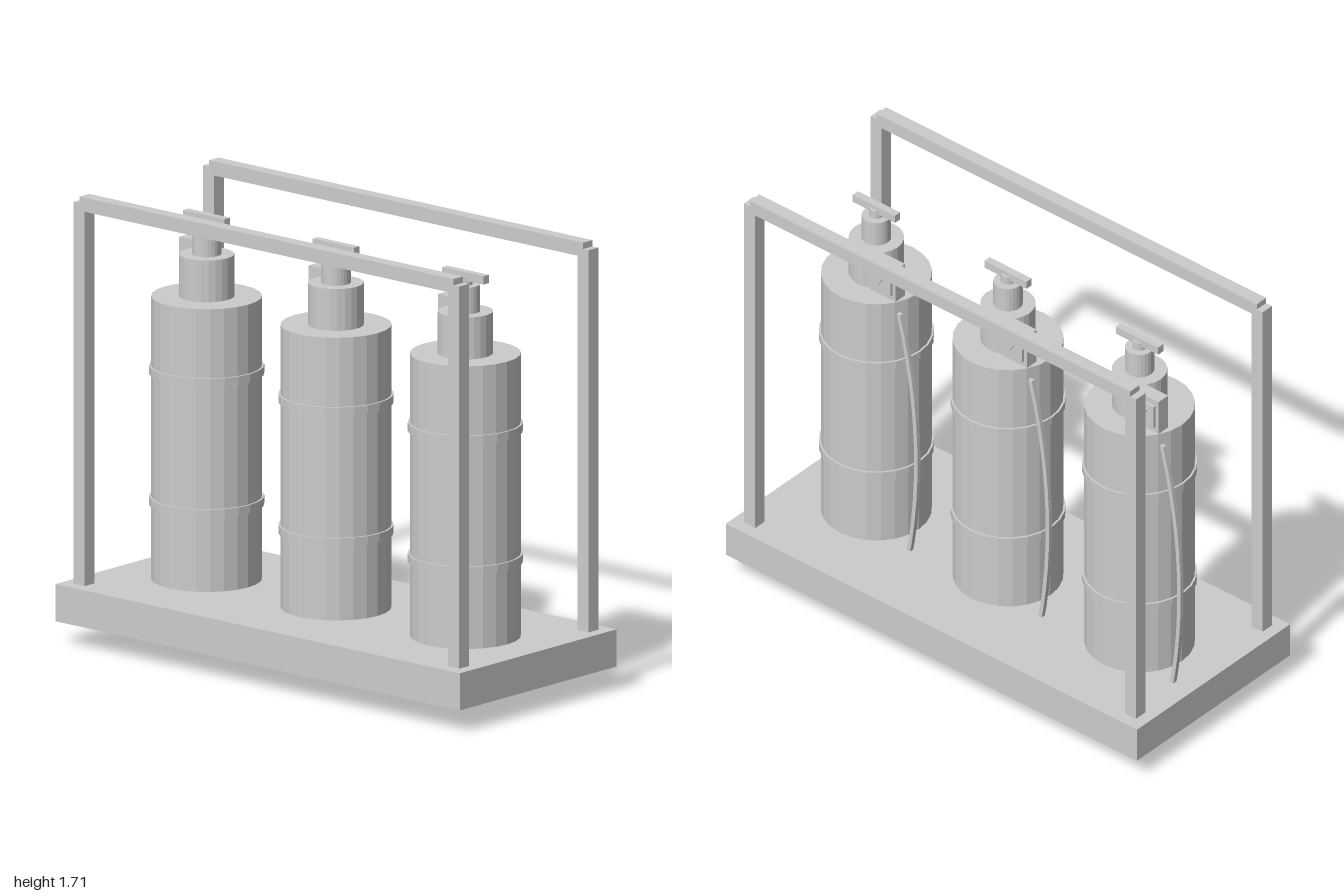
import * as THREE from 'three';

const grey = new THREE.MeshStandardMaterial({ color: 0xcccccc, flatShading: true });
grey.name = 'plain grey';

function add(parent, name, geometry, x = 0, y = 0, z = 0) {
  const mesh = new THREE.Mesh(geometry, grey);
  mesh.name = name;
  mesh.position.set(x, y, z);
  parent.add(mesh);
  return mesh;
}

// Box and upright cylinder placed by their bottom and top heights
function box(parent, name, w, d, y0, y1, x = 0, z = 0) {
  return add(parent, name, new THREE.BoxGeometry(w, y1 - y0, d), x, (y0 + y1) / 2, z);
}
function drum(parent, name, r, y0, y1) {
  return add(parent, name, new THREE.CylinderGeometry(r, r, y1 - y0, 24), 0, (y0 + y1) / 2, 0);
}

// Square-section hose bowing out to the back, hanging through the base
function hoseGeometry() {
  const steps = 14, width = 0.017;
  const centre = (t) => -0.215 - 0.085 * (1 - (2 * t - 1) ** 2);
  const inner = [], outer = [];
  for (let i = 0; i <= steps; i++) {
    const t = i / steps;
    inner.push(new THREE.Vector2(centre(t) + width / 2, t * 1.285));
    outer.push(new THREE.Vector2(centre(t) - width / 2, t * 1.285));
  }
  const shape = new THREE.Shape([...inner, ...outer.reverse()]);
  const geometry = new THREE.ExtrudeGeometry(shape, { depth: width, bevelEnabled: false });
  geometry.rotateY(-Math.PI / 2);
  geometry.translate(0.127, 0, 0);
  return geometry;
}

function createTank(z) {
  const tank = new THREE.Group();
  tank.name = 'tank';
  tank.position.z = z;
  drum(tank, 'body', 0.206, 0.23, 1.31);
  for (const y of [0.53, 1.03]) drum(tank, 'band', 0.214, y - 0.016, y + 0.016);
  drum(tank, 'neck', 0.103, 1.31, 1.47);
  drum(tank, 'valve', 0.055, 1.47, 1.572);
  drum(tank, 'valveStem', 0.027, 1.572, 1.605);
  box(tank, 'handle', 0.03, 0.205, 1.59, 1.622);

  // Gauge facing sideways
  box(tank, 'gaugeCase', 0.054, 0.124, 1.34, 1.485, 0.103, -0.142);
  box(tank, 'gaugeFace', 0.012, 0.092, 1.363, 1.46, 0.135, -0.142);
  const needle = add(tank, 'gaugeNeedle', new THREE.BoxGeometry(0.009, 0.05, 0.009), 0.145, 1.42, -0.145);
  needle.rotation.x = -0.55;

  add(tank, 'hose', hoseGeometry());
  return tank;
}

export function createModel() {
  const model = new THREE.Group();
  model.name = 'tankRack';
  box(model, 'base', 0.874, 2, 0.088, 0.23);

  // Side frames: two posts and a top rail each
  for (const x of [-0.361, 0.361]) {
    for (const z of [-0.926, 0.926]) box(model, 'post', 0.054, 0.054, 0.23, 1.69, x, z);
    box(model, 'rail', 0.054, 1.85, 1.66, 1.714, x);
  }

  for (const z of [-0.64, 0, 0.64]) model.add(createTank(z));
  return model;
}
